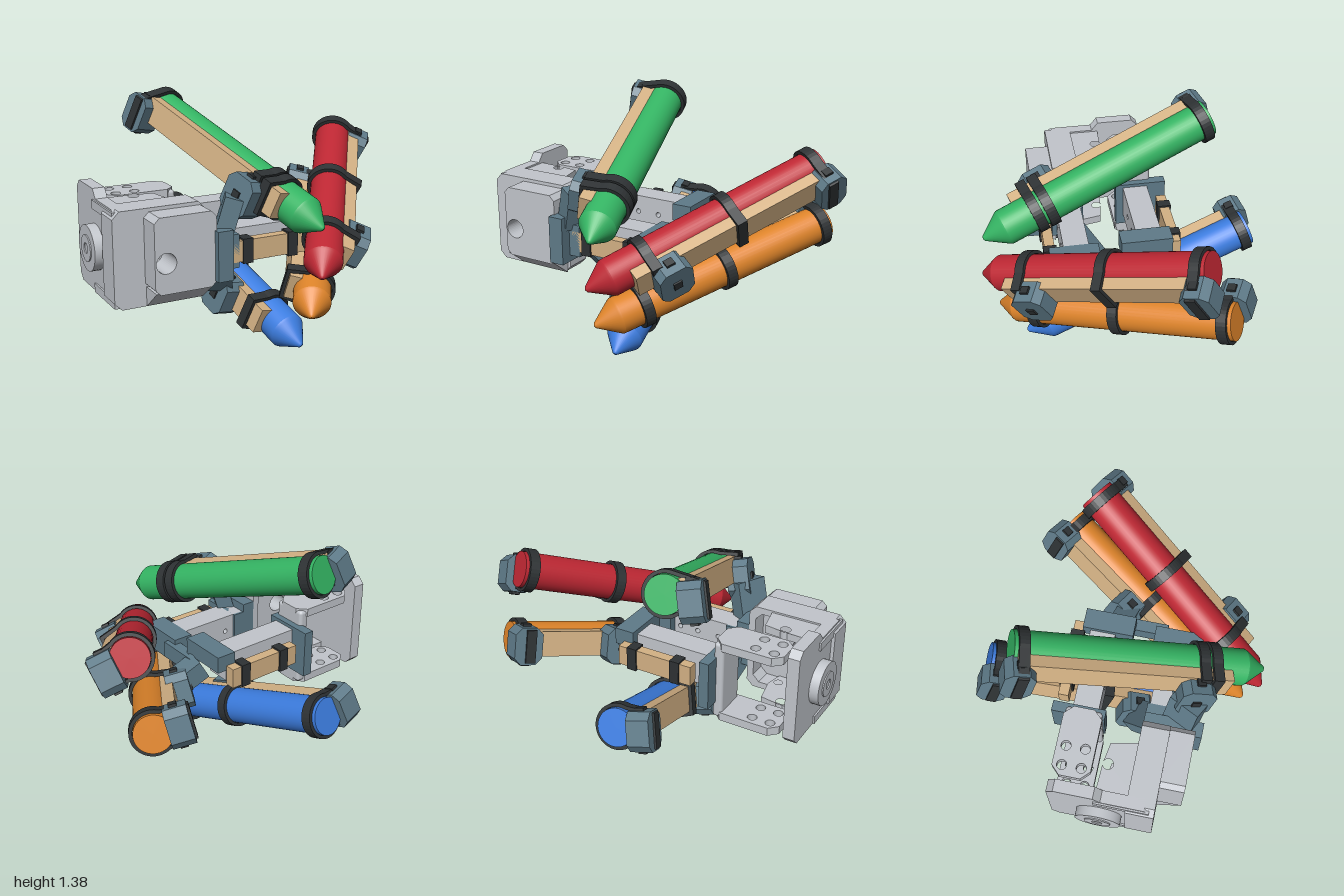
import * as THREE from 'three';
import { RoundedBoxGeometry } from 'three/addons/geometries/RoundedBoxGeometry.js';

const mat = (name, color) => {
  const m = new THREE.MeshStandardMaterial({ color });
  m.name = name;
  return m;
};
const V = (x, y, z) => new THREE.Vector3(x, y, z);

// rectangle with cut corners
function cutRect(w, h, c, cx = 0, cy = 0, S = THREE.Shape) {
  const a = w / 2, b = h / 2;
  return new S([[-a + c, -b], [a - c, -b], [a, -b + c], [a, b - c], [a - c, b], [-a + c, b], [-a, b - c], [-a, -b + c]]
    .map(([x, y]) => new THREE.Vector2(x + cx, y + cy)));
}
const polygon = pts => new THREE.Shape(pts.map(p => new THREE.Vector2(...p)));
const circle = (x, y, r) => new THREE.Path().absarc(x, y, r, 0, Math.PI * 2, true);
const extrude = (shape, depth) => new THREE.ExtrudeGeometry(shape, { depth, bevelEnabled: false, curveSegments: 20 });

export function createModel() {
  const model = new THREE.Group();
  const steel = mat('slate blue', 0x5f7b89), grey = mat('light grey', 0xc2c6cc);
  const wood = mat('tan wood', 0xd4b285), rubber = mat('black rubber', 0x2e3234);
  const add = (parent, name, geo, m, x = 0, y = 0, z = 0) => {
    const mesh = new THREE.Mesh(geo, m);
    mesh.name = name;
    mesh.position.set(x, y, z);
    parent.add(mesh);
    return mesh;
  };
  // box from its limits, optionally rounded
  const block = (name, m, [x0, x1], [y0, y1], [z0, z1], r = 0) => add(model, name,
    r ? new RoundedBoxGeometry(x1 - x0, y1 - y0, z1 - z0, 3, r) : new THREE.BoxGeometry(x1 - x0, y1 - y0, z1 - z0),
    m, (x0 + x1) / 2, (y0 + y1) / 2, (z0 + z1) / 2);
  // bar between two points
  const link = (name, a, b, w, h) => {
    const bar = add(model, name, new THREE.BoxGeometry(w, h, a.distanceTo(b)), steel);
    bar.position.copy(a).lerp(b, 0.5);
    bar.lookAt(b);
  };

  // ---- four pointed tubes, each strapped to a wooden stick sunk into its side ----
  const R = 0.107, stickW = 0.15, stickOut = R + 0.04;
  // outline around the tube and whatever reaches out to the given edge
  const wrap = (g, out, shift, S) => {
    const pts = [], edge = out + g, half = stickW / 2 + g;
    for (let i = 0; i <= 24; i++) {
      const t = Math.PI * (0.34 + 1.32 * i / 24);
      pts.push(new THREE.Vector2(Math.cos(t) * (R + g), Math.sin(t) * (R + g)));
    }
    pts.push(new THREE.Vector2(edge, shift - half), new THREE.Vector2(edge, shift + half));
    return new S(pts);
  };
  const strap = (out, shift) => {
    const s = wrap(0.022, out, shift, THREE.Shape);
    s.holes.push(wrap(0.002, out, shift, THREE.Path));
    return extrude(s, 0.06);
  };

  // shift moves the clamps sideways across the stick
  function pointedTube(name, m, base, end, side, straps, clampAt, shift) {
    const L = base.distanceTo(end);
    const axis = end.clone().sub(base).normalize();
    const n = side.clone().addScaledVector(axis, -side.dot(axis)).normalize();
    const g = new THREE.Group();
    g.name = name;
    g.quaternion.setFromRotationMatrix(new THREE.Matrix4().makeBasis(n, axis.clone().cross(n), axis));
    g.position.copy(base);
    model.add(g);

    add(g, 'tube', new THREE.CylinderGeometry(R, R, L, 36).rotateX(Math.PI / 2), m, 0, 0, L / 2);
    const nose = [[0, -0.14], [0.016, -0.133], [R - 0.006, -0.012], [R, 0]].map(p => new THREE.Vector2(...p));
    add(g, 'nose', new THREE.LatheGeometry(nose, 36).rotateX(Math.PI / 2), m);
    add(g, 'stick', new THREE.BoxGeometry(0.08, stickW, L - 0.12), wood, stickOut - 0.04, 0, L / 2 + 0.04);
    for (const t of straps) add(g, 'strap', strap(stickOut, 0), rubber, 0, 0, t - 0.03);
    add(g, 'rearStrap', strap(R + 0.09, shift), rubber, 0, 0, L - 0.08);

    // clamps gripping the stick at both ends
    for (const [label, x, z, len] of [['frontClamp', R, clampAt, 0.2], ['rearClamp', R - 0.03, L - 0.04, 0.17]]) {
      add(g, label, extrude(cutRect(len, 0.22, 0.04), 0.13).rotateY(Math.PI / 2), steel, x, shift, z);
      for (const s of [-1, 1]) add(g, 'clampPeg', new THREE.BoxGeometry(0.045, 0.03, 0.05), rubber, x + 0.06, shift + s * 0.11, z);
    }
    add(g, 'clampButton', new THREE.BoxGeometry(0.03, 0.05, 0.05), rubber, R + 0.125, shift, clampAt);
  }
  pointedTube('greenTube', mat('green', 0x34b463), V(0, 0.84, 0.69), V(-0.30, 1.27, -0.55), V(-0.97, 0.22, 0.3), [0.2, 0.275], 0.3, -0.05);
  pointedTube('redTube', mat('red', 0xbe2733), V(0.09, 0.58, 0.73), V(0.82, 1.04, -0.33), V(0.8, -0.4, 0.4), [0.22, 0.75], 0.29, 0.02);
  pointedTube('orangeTube', mat('orange', 0xde842a), V(0.08, 0.32, 0.64), V(0.80, 0.65, -0.49), V(-0.8, 0.22, -0.42), [0.15, 0.68], 0.75, 0);
  pointedTube('blueTube', mat('blue', 0x3c7de0), V(0.02, 0.105, 0.475), V(-0.15, 0.545, -0.80), V(-0.97, 0.2, 0.2), [0.2, 0.62], 0.42, -0.02);

  // ---- hollow grey housing at the side ----
  const ring = cutRect(0.53, 0.54, 0.04, -0.695, 0.63);
  ring.holes.push(cutRect(0.45, 0.46, 0.04, -0.695, 0.63, THREE.Path));
  add(model, 'housingShell', extrude(ring, 0.14), grey, 0, 0, 0.2);
  const face = cutRect(0.53, 0.54, 0.04, -0.695, 0.63);
  face.holes.push(circle(-0.72, 0.63, 0.057));
  add(model, 'housingFace', extrude(face, 0.05), grey, 0, 0, 0.31);
  const nosePlate = cutRect(0.355, 0.42, 0.03, -0.6075, 0.67);
  nosePlate.holes.push(circle(-0.72, 0.63, 0.057));
  add(model, 'housingNose', extrude(nosePlate, 0.14), grey, 0, 0, 0.36);
  const chin = polygon([[-0.36, 0.36], [-0.36, 0.47], [-0.5, 0.47]]);
  add(model, 'housingChin', extrude(chin, 0.33).rotateY(Math.PI / 2), grey, -0.78, 0, 0);

  // side plate with its round horn
  const plate = polygon([[0.24, 0.4], [0.2, 0.36], [-0.28, 0.36], [-0.36, 0.46], [-0.36, 0.86], [-0.3, 0.9],
    [-0.06, 0.9], [-0.02, 0.95], [0.2, 0.95], [0.24, 0.91]]);
  add(model, 'sidePlate', extrude(plate, 0.07).rotateY(Math.PI / 2), grey, -0.94, 0, 0);
  add(model, 'hornDisc', new THREE.CylinderGeometry(0.13, 0.13, 0.06, 32).rotateZ(Math.PI / 2), grey, -0.965, 0.63, 0.05);
  const horn = new THREE.Shape().absarc(0, 0, 0.075, 0, Math.PI * 2);
  horn.holes.push(circle(0, 0, 0.03));
  add(model, 'hornHub', extrude(horn, 0.012).rotateY(-Math.PI / 2), grey, -0.99, 0.63, 0.05);

  // flanges joining the side plate to the shell
  const flange = polygon([[-0.95, -0.02], [-0.6, -0.05], [-0.57, -0.2], [-0.6, -0.35], [-0.95, -0.33]]);
  flange.holes.push(circle(-0.72, -0.06, 0.03), circle(-0.83, -0.24, 0.03), circle(-0.62, -0.24, 0.025));
  for (const y of [0.36, 0.84]) add(model, 'housingFlange', extrude(flange, 0.05).rotateX(-Math.PI / 2), grey, 0, y, 0);

  // rear U bracket with drilled ears
  const ear = cutRect(0.4, 0.22, 0.05, -0.63, 0.135);
  for (const [x, y] of [[-0.77, 0.19], [-0.77, 0.08], [-0.66, 0.19], [-0.66, 0.08]]) ear.holes.push(circle(x, y, 0.028));
  for (const y of [0.38, 0.83]) add(model, 'bracketEar', extrude(ear, 0.05).rotateX(-Math.PI / 2), grey, 0, y, 0);
  block('bracketWeb', grey, [-0.49, -0.43], [0.39, 0.87], [-0.24, -0.03], 0.02);

  // ---- twin arms across the middle ----
  const armShape = cutRect(0.54, 0.2, 0.03, -0.16, 0);
  for (const x of [-0.22, -0.08, 0.04]) armShape.holes.push(circle(x, 0, 0.015));
  for (const [z, y] of [[-0.14, 0.66], [0.29, 0.62]]) {
    add(model, 'arm', extrude(armShape, 0.15), grey, 0, y, z - 0.075);
    const out = z < 0 ? -1 : 1;
    const zs = z + out * 0.15;
    block('armStick', wood, [-0.33, 0.14], [y - 0.06, y + 0.06], [zs - 0.03, zs + 0.03]);
    for (const x of [-0.23, 0.05]) block('armStickBand', rubber, [x - 0.03, x + 0.03], [y - 0.07, y + 0.07], [zs - 0.04, zs + 0.04]);
  }
  block('leftClampRear', steel, [-0.45, -0.39], [0.49, 0.78], [-0.33, -0.02]);
  block('leftClampFront', steel, [-0.44, -0.35], [0.49, 0.77], [0.2, 0.54]);
  block('leftClampJaw', steel, [-0.36, -0.28], [0.53, 0.72], [0.2, 0.47]);
  block('rightClampRear', steel, [0.08, 0.2], [0.69, 0.79], [-0.26, 0.04]);
  block('rightClampFront', steel, [0.08, 0.2], [0.56, 0.72], [0.16, 0.45]);
  block('rightBridge', steel, [0.16, 0.23], [0.59, 0.69], [-0.03, 0.23]);

  // links from the arms to the tube clamps
  link('greenLink', V(-0.35, 0.7, 0.4), V(-0.29, 0.93, 0.43), 0.19, 0.1);
  link('blueLink', V(-0.34, 0.56, 0.3), V(-0.25, 0.32, 0.13), 0.18, 0.09);
  link('redLink', V(0.16, 0.64, 0.4), V(0.34, 0.58, 0.55), 0.09, 0.1);
  link('orangeLink', V(0.18, 0.65, -0.06), V(0.32, 0.57, -0.03), 0.13, 0.12);

  return model;
}
